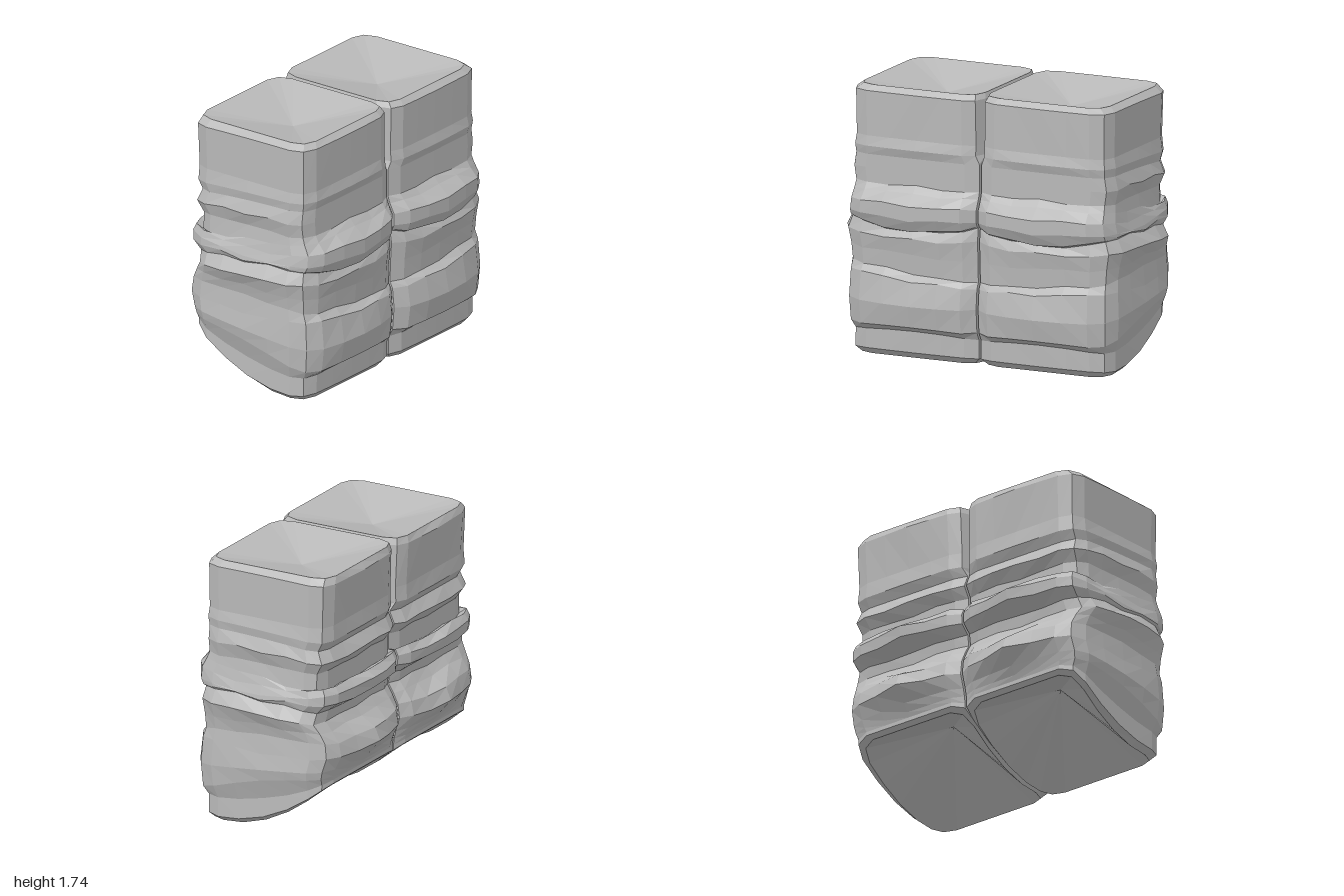
import * as THREE from 'three';

// Rings from waist end to hem: heights at front, side, back; front z, back z, outer x
const RINGS = [
  [1.735, 1.735, 1.735, 0.42, -0.44, 0.86],
  [1.70, 1.70, 1.69, 0.46, -0.47, 0.905],
  [1.41, 1.41, 1.41, 0.455, -0.44, 0.90],
  [1.345, 1.335, 1.31, 0.47, -0.45, 0.915],
  [1.29, 1.28, 1.25, 0.45, -0.41, 0.905],
  [1.20, 1.20, 1.17, 0.45, -0.46, 0.935],
  [1.11, 1.11, 1.10, 0.45, -0.40, 0.905],
  [1.07, 1.02, 0.97, 0.49, -0.40, 0.915],
  [1.01, 0.97, 1.015, 0.57, -0.48, 0.93],
  [0.92, 0.92, 0.97, 0.57, -0.54, 0.95],
  [0.84, 0.895, 0.90, 0.53, -0.53, 0.955],
  [0.83, 0.875, 0.84, 0.49, -0.41, 0.94],
  [0.78, 0.80, 0.77, 0.52, -0.40, 1.00],
  [0.68, 0.72, 0.71, 0.50, -0.44, 0.96],
  [0.56, 0.65, 0.64, 0.49, -0.54, 0.94],
  [0.52, 0.53, 0.55, 0.54, -0.575, 0.95],
  [0.36, 0.42, 0.46, 0.57, -0.49, 0.965],
  [0.22, 0.345, 0.41, 0.54, -0.455, 0.95],
  [0.18, 0.215, 0.38, 0.465, -0.44, 0.908],
  [0.04, 0.09, 0.355, 0.46, -0.44, 0.912],
  [0.0, 0.06, 0.33, 0.42, -0.41, 0.87],
];
const LAST = RINGS.length - 1;
const CENTRE = 0.435;

// Rounded-square outline, running from +x towards +z
const QUARTER = [[1, 0], [1, 0.4], [1, 0.74], [0.93, 0.93], [0.74, 1], [0.4, 1]];
const OUTLINE = [];
for (let q = 0; q < 4; q++) {
  for (const [u, v] of QUARTER) {
    OUTLINE.push([[u, v], [-v, u], [-u, -v], [v, -u]][q]);
  }
}

const bell = (y, middle, width) => Math.exp(-(((y - middle) / width) ** 2));

function legGeometry(side) {
  const n = OUTLINE.length;
  const pos = [];
  const index = [];
  const tri = (a, b, c) => (side > 0 ? index.push(a, b, c) : index.push(a, c, b));

  RINGS.forEach(([yF, yS, yB, zF, zB, xO], r) => {
    // the knee fold lifts at its corners, the one below it rises outwards, the hem sags
    const lift = 0.06 * bell(yF, 0.84, 0.06) - 0.03 * bell(yF, 0.2, 0.04);
    const tilt = 0.04 * bell(yF, 0.58, 0.12);
    // the inner sides press together on the middle plane, except at the rims
    const inner = r === 0 || r === LAST ? 0.018 : r === 1 ? 0.005 : r < 4 ? 0 : -0.025;

    OUTLINE.forEach(([u, v], j) => {
      // folds bulge most in the middle of each face, in a peak at the back
      const depth = v > 0 ? zF : -zB;
      const base = Math.min(depth, 0.44);
      const fade = v > 0 ? 1 - 0.65 * u * u : 1 - 0.7 * Math.abs(u);
      const z = v * (base + (depth - base) * fade);
      const reach = xO - CENTRE;
      const flat = Math.min(reach, 0.47);
      const x = u > 0
        ? CENTRE + u * (flat + (reach - flat) * (1 - 0.6 * v * v))
        : Math.max(0, CENTRE + u * (CENTRE - inner));
      let y = yS + (yF - yB) / 2 * v + ((yF + yB) / 2 - yS) * v * v;
      y += (lift * u * u + tilt * u) * Math.max(v, 0);
      // slight unevenness in the crumpled middle
      if (r > 4 && r < 16) y += 0.01 * Math.sin(j * 2.3 + r * 1.1) * (1 - v * v * u * u);
      pos.push(side * x, Math.max(y, 0), z);
    });
  });

  const top = pos.length / 3;
  pos.push(side * CENTRE, 1.63, 0);
  pos.push(side * CENTRE, 0.47, 0);
  for (let j = 0; j < n; j++) {
    const k = (j + 1) % n;
    for (let r = 0; r < LAST; r++) {
      const a = r * n + j, b = r * n + k;
      tri(a, b, a + n);
      tri(b, b + n, a + n);
    }
    // shallow hollow at the top, deeper one under the hem
    tri(top, k, j);
    tri(top + 1, LAST * n + j, LAST * n + k);
  }

  const geo = new THREE.BufferGeometry();
  geo.setAttribute('position', new THREE.Float32BufferAttribute(pos, 3));
  geo.setIndex(index);
  const flatGeo = geo.toNonIndexed();
  flatGeo.computeVertexNormals();
  return flatGeo;
}

export function createModel() {
  const group = new THREE.Group();
  group.name = 'trouserLegs';
  const cloth = new THREE.MeshStandardMaterial({ color: 0xb9b9b9, flatShading: true });
  cloth.name = 'grey cloth';

  for (const side of [1, -1]) {
    const leg = new THREE.Mesh(legGeometry(side), cloth);
    leg.name = side > 0 ? 'leftLeg' : 'rightLeg';
    group.add(leg);
  }
  return group;
}
